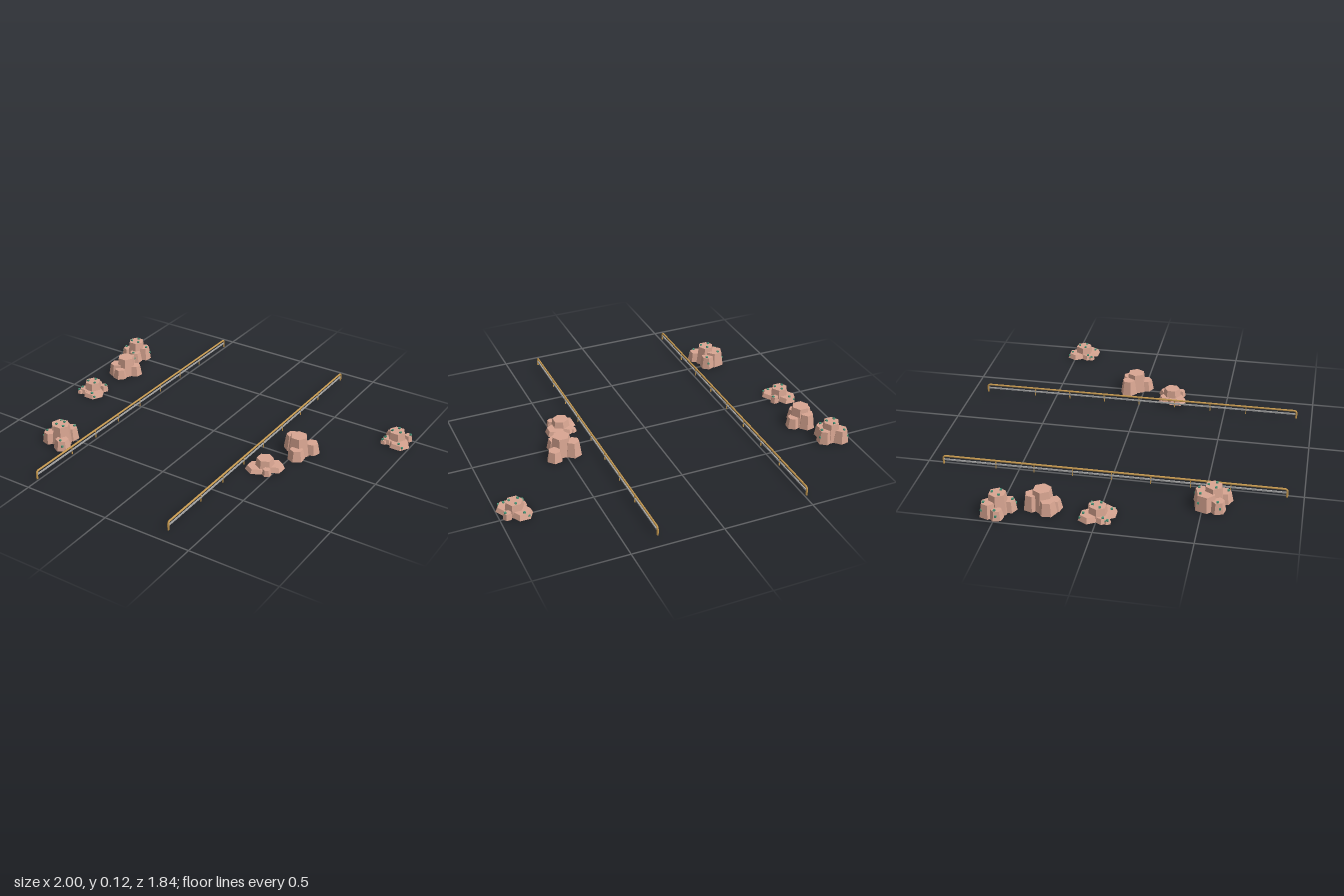
import * as THREE from 'three';

const paint = (color, flatShading = false) => new THREE.MeshStandardMaterial({ color, flatShading });
const rock = paint(0xd9a692, true);
const gold = paint(0xc79a50);
const steel = paint(0xa8a8a8);
const green = paint(0x4a9478);

function add(parent, name, geometry, material, x = 0, y = 0, z = 0) {
  const mesh = new THREE.Mesh(geometry, material);
  mesh.name = name;
  mesh.position.set(x, y, z);
  parent.add(mesh);
  return mesh;
}

// Columns of each rock: [x, z, top radius, height, flare at the foot]
const tallA = [[0, 0, 0.048, 0.11, 0.015], [0.055, -0.05, 0.034, 0.06, 0.012],
  [-0.055, -0.035, 0.036, 0.085, 0.013], [0.017, 0.055, 0.036, 0.06, 0.012]];
const tallB = [[0, 0, 0.048, 0.11, 0.015], [-0.015, -0.05, 0.036, 0.085, 0.012],
  [0.052, -0.02, 0.032, 0.06, 0.01], [-0.042, 0.035, 0.038, 0.07, 0.012], [0, 0.06, 0.032, 0.055, 0.012]];
const tallC = [[0, 0, 0.045, 0.11, 0.013], [-0.04, -0.04, 0.036, 0.075, 0.012],
  [0.045, -0.015, 0.034, 0.075, 0.01], [0.025, 0.05, 0.032, 0.06, 0.01], [-0.06, 0.008, 0.028, 0.05, 0.01]];
const tallD = [[0, 0, 0.045, 0.11, 0.014], [-0.04, -0.035, 0.05, 0.085, 0.012],
  [0.015, -0.06, 0.034, 0.07, 0.01], [0.04, 0.05, 0.036, 0.055, 0.012], [-0.06, 0.028, 0.034, 0.06, 0.01]];
const low = [[0, 0, 0.045, 0.065, 0.01], [-0.026, -0.042, 0.045, 0.028, 0.012],
  [0.03, 0.034, 0.05, 0.022, 0.012], [-0.035, 0.03, 0.03, 0.025, 0.01],
  [-0.05, 0.055, 0.016, 0.018, 0.006], [0.05, -0.04, 0.02, 0.035, 0.006]];

function makeRock(name, columns, x, z, turn, planted) {
  const group = new THREE.Group();
  group.name = name;
  group.position.set(x, 0, z);
  group.rotation.y = turn;
  columns.forEach(([cx, cz, r, h, flare], i) => {
    const column = add(group, 'rockColumn', new THREE.CylinderGeometry(r, r + flare, h, 6), rock, cx, h / 2, cz);
    column.rotation.y = Math.PI / 6 + (columns === low ? 0 : i * 0.2);
    if (!planted) return;
    // Small shrubs on the tops and clinging to the walls
    const count = i === 0 ? 3 : 1;
    for (let k = 0; k < count; k++) {
      const a = i === 0 ? k * 2.1 + 0.5 : Math.atan2(cz, cx) + 0.4;
      add(group, 'shrub', new THREE.BoxGeometry(0.011, 0.01, 0.011), green,
        cx + Math.cos(a) * r * 0.6, h + 0.002, cz + Math.sin(a) * r * 0.6);
    }
    if (i > 0 && r > 0.025) {
      const a = Math.atan2(cz, cx);
      const d = (r + flare * 0.45) * 0.93;
      add(group, 'wallShrub', new THREE.BoxGeometry(0.01, 0.01, 0.01), green,
        cx + Math.cos(a) * d, h * 0.55, cz + Math.sin(a) * d);
    }
  });
  return group;
}

function makeRail(name, x) {
  const group = new THREE.Group();
  group.name = name;
  group.position.x = x;
  // Handrail: a long bar whose rounded ends turn down to the ground
  const path = new THREE.CurvePath();
  const p = (y, z) => new THREE.Vector3(0, y, z);
  const end = 0.913, top = 0.047, bend = 0.016;
  path.add(new THREE.LineCurve3(p(0, -end), p(top - bend, -end)));
  path.add(new THREE.QuadraticBezierCurve3(p(top - bend, -end), p(top, -end), p(top, -end + bend)));
  path.add(new THREE.LineCurve3(p(top, -end + bend), p(top, end - bend)));
  path.add(new THREE.QuadraticBezierCurve3(p(top, end - bend), p(top, end), p(top - bend, end)));
  path.add(new THREE.LineCurve3(p(top - bend, end), p(0, end)));
  add(group, 'handrail', new THREE.TubeGeometry(path, 600, 0.0055, 8), gold);
  for (const s of [-1, 1]) {
    const cap = add(group, 'railFoot', new THREE.CircleGeometry(0.0055, 8), gold, 0, 0, s * end);
    cap.rotation.x = Math.PI / 2;
  }
  add(group, 'lowerRail', new THREE.BoxGeometry(0.006, 0.008, end * 2), steel, 0, 0.026, 0);
  for (let i = -3; i <= 3; i++) {
    add(group, 'post', new THREE.BoxGeometry(0.005, 0.046, 0.005), gold, 0, 0.023, i * 0.208);
  }
  return group;
}

export function createModel() {
  const model = new THREE.Group();
  model.name = 'desertRailsAndRocks';
  model.add(
    makeRail('rightRail', -0.513),
    makeRail('leftRail', 0.323),
    makeRock('farRightRock', tallC, -0.9, -0.5, 0, true),
    makeRock('rightPlainRock', tallB, -0.825, -0.29, 0, false),
    makeRock('rightLowRock', low, -0.855, 0, 0, true),
    makeRock('frontRightRock', tallD, -0.64, 0.55, 0, true),
    makeRock('farLeftLowRock', low, 0.908, -0.455, 0, true),
    makeRock('leftPlainRock', tallA, 0.513, -0.05, 0, false),
    makeRock('leftLowRock', low, 0.437, 0.178, -Math.PI / 2, false),
  );
  return model;
}
